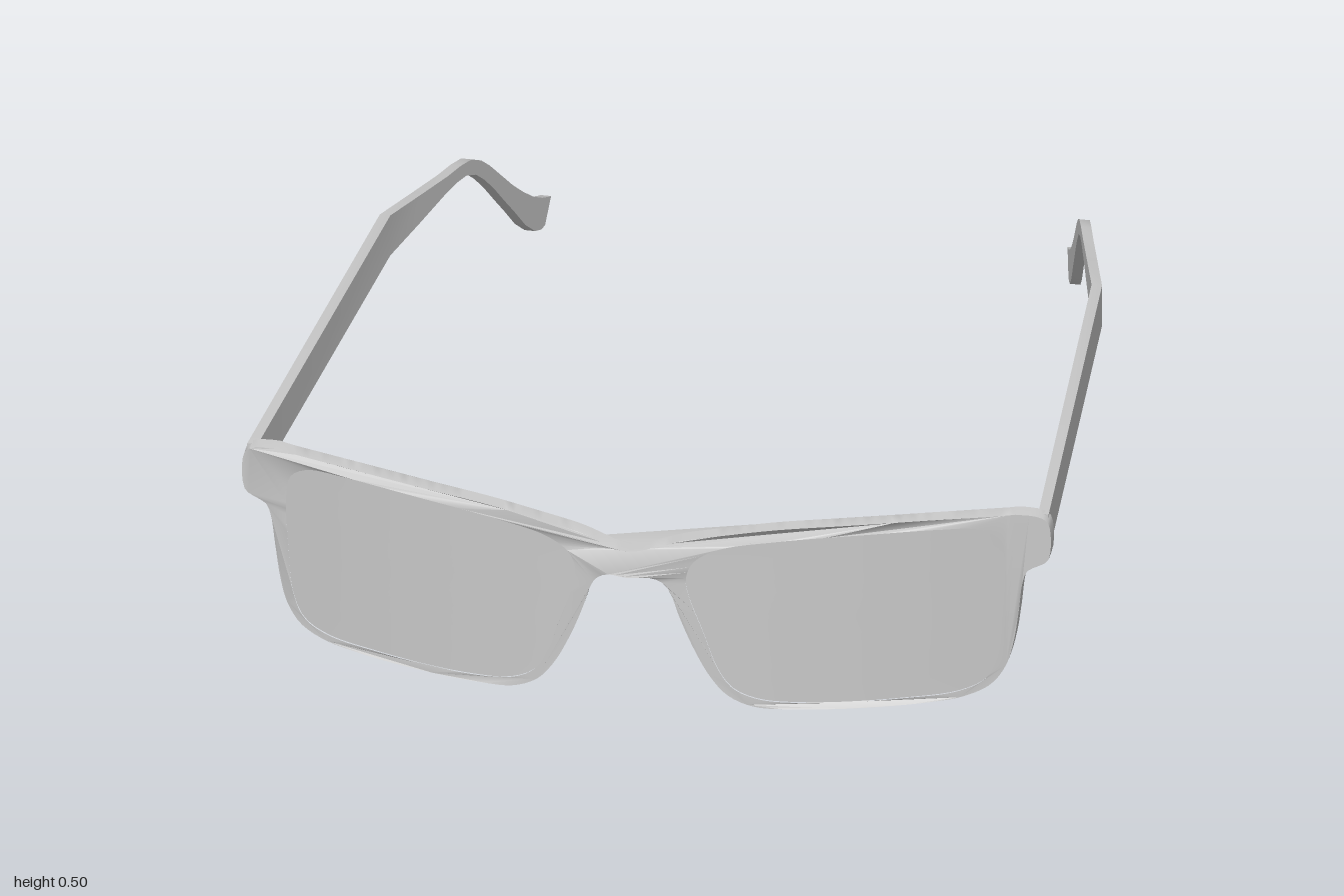
import * as THREE from 'three';
import { toCreasedNormals, mergeVertices } from 'three/addons/utils/BufferGeometryUtils.js';

const material = new THREE.MeshStandardMaterial({ color: 0xcccccc });

// Half of the frame outline, from the top of the bridge around to its underside
const OUTLINE = [
  [0, 0.445], [0.06, 0.45], [0.12, 0.465], [0.2, 0.48], [0.3, 0.494], [0.42, 0.5], [0.6, 0.5],
  [0.75, 0.491], [0.822, 0.487], [0.838, 0.476], [0.838, 0.385], [0.82, 0.37], [0.795, 0.355],
  [0.785, 0.33], [0.775, 0.25], [0.765, 0.18], [0.75, 0.125], [0.72, 0.083], [0.67, 0.062],
  [0.6, 0.055], [0.32, 0.055], [0.25, 0.062], [0.2, 0.087], [0.165, 0.13], [0.13, 0.2],
  [0.1, 0.28], [0.085, 0.33], [0.07, 0.358], [0.04, 0.377], [0, 0.38],
];
const LENS = [
  [0.3, 0.465], [0.45, 0.475], [0.62, 0.475], [0.7, 0.465], [0.74, 0.435], [0.75, 0.38],
  [0.745, 0.25], [0.735, 0.15], [0.71, 0.098], [0.66, 0.076], [0.55, 0.07], [0.35, 0.07],
  [0.26, 0.08], [0.21, 0.105], [0.18, 0.15], [0.15, 0.24], [0.12, 0.33], [0.115, 0.37],
  [0.13, 0.41], [0.18, 0.443],
];

// Smooth closed loop through the given points
function loop(points, count) {
  const curve = new THREE.CatmullRomCurve3(points.map(([x, y]) => new THREE.Vector3(x, y, 0)), true, 'centripetal');
  return curve.getSpacedPoints(count).slice(0, count).map((p) => new THREE.Vector2(p.x, p.y));
}

const mirrored = (points) => points.map(([x, y]) => [-x, y]).reverse();

// Depth of the front face: wrap curve, flat end pieces, raised bridge, slight lean
function faceZ(x, y) {
  const wrap = Math.max(0.966 - 0.3 * x * x, 0.787);
  const bridge = 0.03 * Math.exp(-((x / 0.055) ** 2));
  return wrap + bridge - 0.015 * (x / 0.84) + 0.035 * (y - 0.45);
}

// Bends a flat geometry onto the wrapped front
function bend(geometry) {
  const p = geometry.attributes.position;
  for (let i = 0; i < p.count; i++) p.setZ(i, p.getZ(i) + faceZ(p.getX(i), p.getY(i)));
  return geometry;
}

function finish(geometry, name, crease = 0.6) {
  geometry.deleteAttribute('uv');
  geometry.deleteAttribute('normal');
  const mesh = new THREE.Mesh(toCreasedNormals(mergeVertices(geometry, 1e-5), crease), material);
  mesh.name = name;
  return mesh;
}

// Joins equal closed rings of points with quads; rings run along, points run around
function loft(rings, capped) {
  const n = rings[0].length;
  const index = [];
  for (let r = 0; r < rings.length - 1; r++) {
    for (let i = 0; i < n; i++) {
      const a = r * n + i, b = r * n + ((i + 1) % n);
      index.push(a, b, a + n, b, b + n, a + n);
    }
  }
  if (capped) {
    const e = (rings.length - 1) * n;
    for (let i = 1; i < n - 1; i++) index.push(0, i + 1, i, e, e + i, e + i + 1);
  }
  const g = new THREE.BufferGeometry();
  g.setAttribute('position', new THREE.Float32BufferAttribute(rings.flat(2), 3));
  g.setIndex(index);
  return g;
}

function frontFrame() {
  const shape = new THREE.Shape(loop([...OUTLINE, ...mirrored(OUTLINE.slice(1, -1))], 300));
  shape.holes.push(new THREE.Path(loop(LENS, 130)), new THREE.Path(loop(mirrored(LENS), 130)));
  const g = new THREE.ExtrudeGeometry(shape, { depth: 0.034, bevelEnabled: false });
  return finish(bend(g.translate(0, 0, -0.034)), 'frontFrame');
}

// Thin closed lens made of shrinking copies of the rim, front and back
function lens(points, name) {
  const edge = loop(points, 100);
  if (THREE.ShapeUtils.area(edge) < 0) edge.reverse();
  const cx = Math.sign(points[0][0]) * 0.45, cy = 0.275;
  const steps = [0.001, 0.2, 0.4, 0.6, 0.8, 1.004];
  const ring = (s, z) => edge.map((p) => [cx + (p.x - cx) * s, cy + (p.y - cy) * s, z]);
  const rings = [...steps.map((s) => ring(s, -0.024)), ...steps.reverse().map((s) => ring(s, -0.005))];
  return finish(bend(loft(rings, true)), name);
}

// Side arm: each station is [top z, top y, bottom z, bottom y]
const ARM = [
  [0.775, 0.486, 0.775, 0.391], [-0.25, 0.432, -0.25, 0.336], [-0.4, 0.4, -0.38, 0.336],
  [-0.52, 0.375, -0.5, 0.338], [-0.58, 0.366, -0.56, 0.336], [-0.63, 0.353, -0.605, 0.328],
  [-0.675, 0.325, -0.65, 0.305], [-0.715, 0.29, -0.69, 0.27], [-0.765, 0.24, -0.735, 0.223],
  [-0.82, 0.185, -0.785, 0.165], [-0.87, 0.14, -0.83, 0.114], [-0.92, 0.1, -0.88, 0.055],
  [-0.96, 0.075, -0.925, 0.015], [-0.99, 0.061, -0.955, 0.002], [-1, 0.057, -0.972, 0.003],
];

function arm(side, name) {
  // Runs slightly inward, then bends in more behind the ear
  const armX = (z) => (z > -0.25 ? 0.745 + (z + 0.25) * 0.078 : 0.745 + (z + 0.25) * 0.258);
  const half = 0.011;
  const rings = ARM.map(([tz, ty, bz, by], i) => {
    const dz = i === 0 ? -0.015 * side - 0.005 : 0;
    const tx = armX(tz), bx = armX(bz);
    const ring = [
      [side * (tx - half), ty, tz + dz], [side * (tx + half), ty, tz + dz],
      [side * (bx + half), by, bz + dz], [side * (bx - half), by, bz + dz],
    ];
    return side > 0 ? ring.reverse() : ring;
  });
  // Rings run backwards, so the winding is chosen to face outward on both sides
  return finish(loft(rings.map((r) => r.reverse()), true), name, 0.5);
}

export function createModel() {
  const model = new THREE.Group();
  model.name = 'eyeglasses';
  model.add(
    frontFrame(),
    lens(LENS, 'leftLens'),
    lens(mirrored(LENS), 'rightLens'),
    arm(1, 'leftArm'),
    arm(-1, 'rightArm'),
  );
  return model;
}
